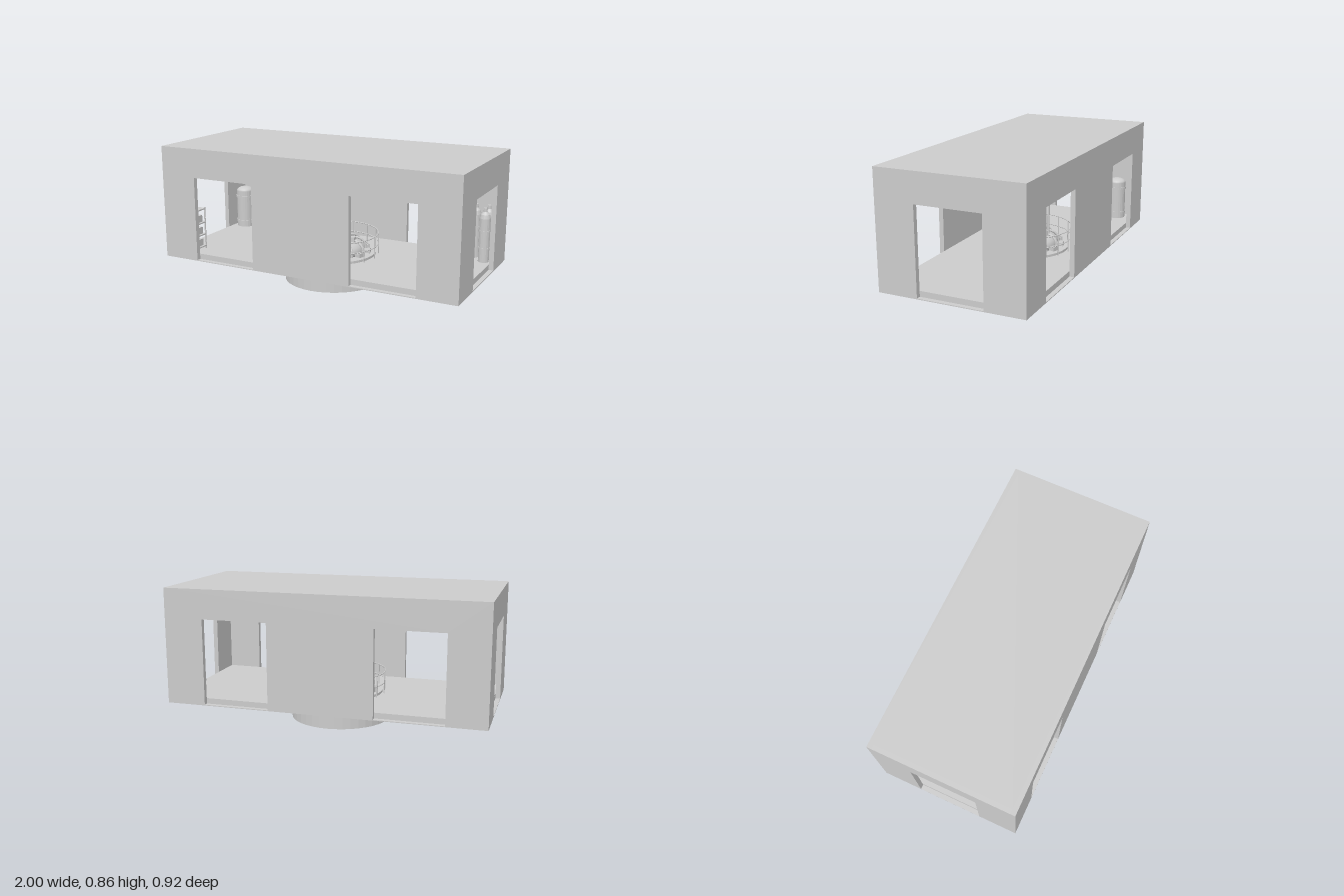
import * as THREE from 'three';

const grey = new THREE.MeshStandardMaterial({ color: 0xcccccc, flatShading: true });
const smooth = new THREE.MeshStandardMaterial({ color: 0xcccccc });

function add(parent, name, geometry, x = 0, y = 0, z = 0, material = grey) {
  const mesh = new THREE.Mesh(geometry, material);
  mesh.name = name;
  mesh.position.set(x, y, z);
  parent.add(mesh);
  return mesh;
}

const box = (w, h, d) => new THREE.BoxGeometry(w, h, d);
const cyl = (r, h, n = 20) => new THREE.CylinderGeometry(r, r, h, n);

// Upright cylinder given by its bottom and top height
function post(parent, name, r, y0, y1, x, z, n = 12) {
  return add(parent, name, cyl(r, y1 - y0, n), x, (y0 + y1) / 2, z);
}

function group(parent, name) {
  const g = new THREE.Group();
  g.name = name;
  parent.add(g);
  return g;
}

const T = 0.03, BASE = 0.125, TOP = 0.855, FLOOR = 0.165, CEILING = 0.83;

// Wall panel centred on its own x, with rectangular openings
function wallGeometry(halfWidth, openings) {
  const rect = (s, a, b, y0, y1) =>
    s.moveTo(a, y0).lineTo(b, y0).lineTo(b, y1).lineTo(a, y1).closePath();
  const shape = rect(new THREE.Shape(), -halfWidth, halfWidth, BASE, TOP);
  for (const [a, b] of openings) shape.holes.push(rect(new THREE.Path(), a, b, 0.13, 0.67));
  return new THREE.ExtrudeGeometry(shape, { depth: T, bevelEnabled: false });
}

function buildHall(root) {
  const hall = group(root, 'hall');
  const long = wallGeometry(1, [[-0.755, -0.33], [0.33, 0.75]]);
  add(hall, 'frontWall', long, 0, 0, 0.46 - T);
  add(hall, 'backWall', long, 0, 0, -0.46);
  const end = wallGeometry(0.46 - T, [[-0.208, 0.208]]);
  add(hall, 'leftWall', end, 1 - T).rotation.y = Math.PI / 2;
  add(hall, 'rightWall', end, -1).rotation.y = Math.PI / 2;
  add(hall, 'roof', box(2 - 2 * T, TOP - CEILING, 0.92 - 2 * T), 0, (TOP + CEILING) / 2, 0);
  add(hall, 'bottomPlate', box(2 - 2 * T, 0.005, 0.92 - 2 * T), 0, 0.1275, 0);
  add(hall, 'floor', box(2 - 2 * T, 0.035, 0.92 - 2 * T), 0, 0.1475, 0);
  for (const z of [-0.2, 0.2])
    add(hall, 'ceilingRail', box(2 - 2 * T, 0.02, 0.025), 0, 0.82, z);
  add(root, 'foundation', cyl(0.318, BASE, 40), 0, BASE / 2, 0);
}

function buildReactor(root) {
  const reactor = group(root, 'reactor');
  add(reactor, 'platform', cyl(0.27, 0.015, 40), 0, 0.1725, 0);

  // Ring vessel with a flat foot and a domed top
  const profile = [[0.05, 0.18], [0.2, 0.18], [0.2, 0.205], [0.19, 0.228], [0.17, 0.245],
    [0.14, 0.256], [0.11, 0.256], [0.08, 0.246], [0.06, 0.23], [0.05, 0.21], [0.05, 0.18]];
  add(reactor, 'vessel',
    new THREE.LatheGeometry(profile.map(p => new THREE.Vector2(...p)), 48), 0, 0, 0, smooth);

  // Coils arching over the vessel, with a port between each pair
  const arch = new THREE.CatmullRomCurve3([[0.045, 0.18], [0.05, 0.225], [0.085, 0.258],
    [0.13, 0.266], [0.175, 0.252], [0.203, 0.22], [0.207, 0.18]]
    .map(([x, y]) => new THREE.Vector3(x, y, 0)));
  const coil = new THREE.TubeGeometry(arch, 20, 0.008, 8);
  for (let i = 0; i < 12; i++) {
    const a = i * Math.PI / 6;
    add(reactor, 'coil', coil).rotation.y = a;
    const port = group(reactor, 'port');
    port.rotation.y = a + Math.PI / 12;
    add(port, 'portDuct', box(0.05, 0.02, 0.045), 0.21, 0.19, 0);
    add(port, 'portFlange', box(0.008, 0.026, 0.054), 0.235, 0.193, 0);
  }
  for (let i = 0; i < 4; i++) {
    const clamp = group(reactor, 'topClamp');
    clamp.rotation.y = i * Math.PI / 2;
    add(clamp, 'clampBlock', box(0.04, 0.032, 0.032), 0.13, 0.27, 0);
  }

  // Central column up to the ceiling
  post(reactor, 'column', 0.043, 0.18, CEILING, 0, 0, 28);
  for (const y of [0.29, 0.47, 0.615, 0.75])
    add(reactor, 'columnBand', cyl(0.05, 0.014, 28), 0, y, 0);
  add(reactor, 'ceilingFlange', cyl(0.12, 0.025, 32), 0, CEILING - 0.0125, 0);

  // Service pipes
  for (const [x, z, r] of [[0, 0.15, 0.008], [0, -0.15, 0.008], [0.045, -0.038, 0.006]]) {
    post(reactor, 'servicePipe', r, 0.24, CEILING, x, z);
    for (const y of [0.38, 0.525].slice(r > 0.007 ? 1 : 0))
      add(reactor, 'pipeCollar', cyl(r + 0.003, 0.014, 12), x, y, z);
  }
}

// Round guard rail around the reactor
function buildRailing(root) {
  const railing = group(root, 'railing');
  const R = 0.287;
  for (const y of [0.235, 0.303])
    add(railing, 'rail', new THREE.TorusGeometry(R, 0.0035, 6, 64), 0, y, 0)
      .rotation.x = Math.PI / 2;
  for (let i = 0; i < 16; i++) {
    const a = i * Math.PI / 8;
    post(railing, 'railPost', 0.0035, FLOOR, 0.303, R * Math.cos(a), R * Math.sin(a), 6);
  }
}

// Equipment standing in the corners
function buildEquipment(root) {
  const rack = group(root, 'shelfRack');
  rack.position.set(-0.865, FLOOR, 0.355);
  for (const x of [-0.07, 0.07])
    for (const z of [-0.045, 0.045])
      post(rack, 'rackPost', 0.005, 0, 0.28, x, z, 6);
  for (const y of [0.02, 0.1, 0.18, 0.27]) {
    add(rack, 'shelf', box(0.15, 0.008, 0.1), 0, y, 0);
    if (y < 0.25)
      for (const x of [-0.035, 0.035])
        add(rack, 'crate', box(0.05, 0.045, 0.06), x, y + 0.0265, 0);
  }

  const bottle = new THREE.LatheGeometry([[0, 0], [0.034, 0], [0.034, 0.28], [0.028, 0.305],
    [0.012, 0.322], [0.012, 0.345], [0, 0.345]].map(p => new THREE.Vector2(...p)), 18);
  for (const [x, z] of [[0.835, -0.34], [0.92, -0.34], [0.92, -0.255]]) {
    const g = group(root, 'gasBottle');
    g.position.set(x, FLOOR, z);
    add(g, 'bottleBody', bottle);
    for (const y of [0.09, 0.2]) add(g, 'bottleBand', cyl(0.037, 0.01, 18), 0, y, 0);
  }

  const tank = group(root, 'storageTank');
  tank.position.set(-0.89, FLOOR, -0.31);
  add(tank, 'tankBody', cyl(0.06, 0.26, 24), 0, 0.13, 0);
  for (const y of [0.04, 0.22]) add(tank, 'tankBand', cyl(0.065, 0.015, 24), 0, y, 0);
  add(tank, 'tankDome', new THREE.SphereGeometry(0.06, 24, 8, 0, Math.PI * 2, 0, Math.PI / 2),
    0, 0.26, 0, smooth).scale.y = 0.5;
}

export function createModel() {
  const model = new THREE.Group();
  model.name = 'reactorHall';
  buildHall(model);
  buildReactor(model);
  buildRailing(model);
  buildEquipment(model);
  return model;
}
